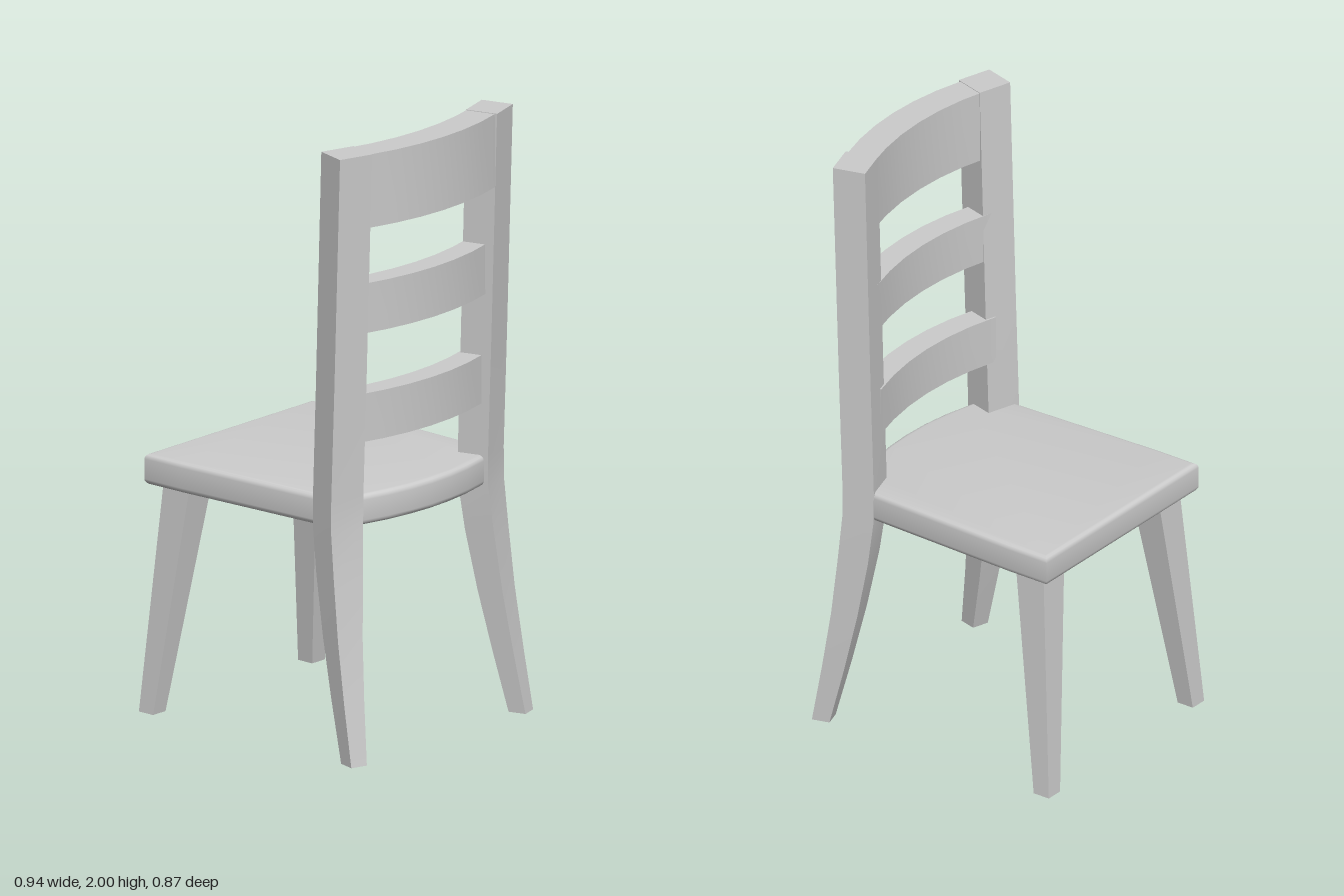
import * as THREE from 'three';
import { toCreasedNormals } from 'three/addons/utils/BufferGeometryUtils.js';

const material = new THREE.MeshStandardMaterial({ color: 0xcccccc });

function addPart(group, name, geometry, crease = 0.6) {
  const mesh = new THREE.Mesh(toCreasedNormals(geometry, crease), material);
  mesh.name = name;
  group.add(mesh);
}

// Capped skin over rings listed bottom to top, each counterclockwise from above
function loft(rings) {
  const out = [];
  const quad = (a, b, c, d) => out.push(...a, ...b, ...c, ...a, ...c, ...d);
  for (let i = 0; i < rings.length - 1; i++) {
    for (let k = 0; k < 4; k++) {
      const n = (k + 1) % 4;
      quad(rings[i][k], rings[i][n], rings[i + 1][n], rings[i + 1][k]);
    }
  }
  const [a, b, c, d] = rings[0];
  quad(d, c, b, a);
  quad(...rings[rings.length - 1]);
  const geometry = new THREE.BufferGeometry();
  geometry.setAttribute('position', new THREE.Float32BufferAttribute(out, 3));
  return geometry;
}

// Four-sided ring from a front outer corner, a depth vector and a width vector
function ring(side, y, x, z, depth, width) {
  const at = (d, w) => [x + d * depth[0] + w * width[0], y, side * (z + d * depth[1] + w * width[1])];
  const corners = [at(0, 0), at(1, 0), at(1, 1), at(0, 1)];
  return side > 0 ? corners : corners.reverse();
}

// Upright extrusion of a plan outline given as [x, z] points
function slab(points, y0, y1, bevel = 0) {
  const shape = new THREE.Shape(points.map(([x, z]) => new THREE.Vector2(x, -z)));
  const geometry = new THREE.ExtrudeGeometry(shape, {
    depth: y1 - y0 - 2 * bevel,
    bevelEnabled: bevel > 0,
    bevelSize: bevel,
    bevelThickness: bevel,
    bevelOffset: -bevel,
    bevelSegments: 4,
  });
  return geometry.rotateX(-Math.PI / 2).translate(0, y0 + bevel, 0);
}

// Shallow backward bow shared by the seat edge and the slats
function bow(x, halfWidth, segments) {
  return Array.from({ length: segments + 1 }, (_, i) => {
    const z = halfWidth * (1 - (2 * i) / segments);
    return [x - 0.5 * z * z, z];
  });
}

export function createModel() {
  const chair = new THREE.Group();
  chair.name = 'chair';

  // Seat, narrowing slightly to the bowed back edge
  const seatOutline = [[-0.455, -0.403], [-0.455, 0.403], [-0.3, 0.403], ...bow(0.412, 0.38, 8), [-0.3, -0.403]];
  addPart(chair, 'seat', slab(seatOutline, 0.755, 0.857, 0.018));

  // Back posts run from foot to top: y, front outer corner x and z, depth, width
  const postLevels = [
    [0, 0.395, 0.42, 0.06, 0.058],
    [0.2, 0.345, 0.41, 0.075, 0.075],
    [0.4, 0.3, 0.4, 0.089, 0.092],
    [0.6, 0.264, 0.391, 0.103, 0.109],
    [0.755, 0.245, 0.386, 0.107, 0.12],
    [0.86, 0.245, 0.385, 0.107, 0.12],
    [1.25, 0.258, 0.385, 0.108, 0.12],
    [2, 0.28, 0.385, 0.11, 0.12],
  ];
  // Front legs taper and splay outward: y, corner x and z, size
  const legLevels = [
    [0, -0.47, 0.412, 0.06],
    [0.77, -0.41, 0.36, 0.11],
  ];
  for (const side of [1, -1]) {
    addPart(chair, 'backPost', loft(postLevels.map(([y, x, z, d, w]) =>
      ring(side, y, x, z, [0.96 * d, 0.27 * d], [0.29 * w, -0.957 * w]))));
    addPart(chair, 'frontLeg', loft(legLevels.map(([y, x, z, s]) =>
      ring(side, y, x, z, [s, 0], [0, -s]))));
  }

  // Bowed back slats: name, bottom, top, front x, back x
  const slats = [
    ['lowerSlat', 1.03, 1.19, 0.322, 0.405],
    ['middleSlat', 1.395, 1.56, 0.338, 0.42],
    ['topSlat', 1.755, 1.998, 0.353, 0.457],
  ];
  for (const [name, y0, y1, front, back] of slats) {
    const outline = [...bow(back, 0.305, 6), ...bow(front, 0.305, 6).reverse()];
    addPart(chair, name, slab(outline, y0, y1));
  }

  return chair;
}
